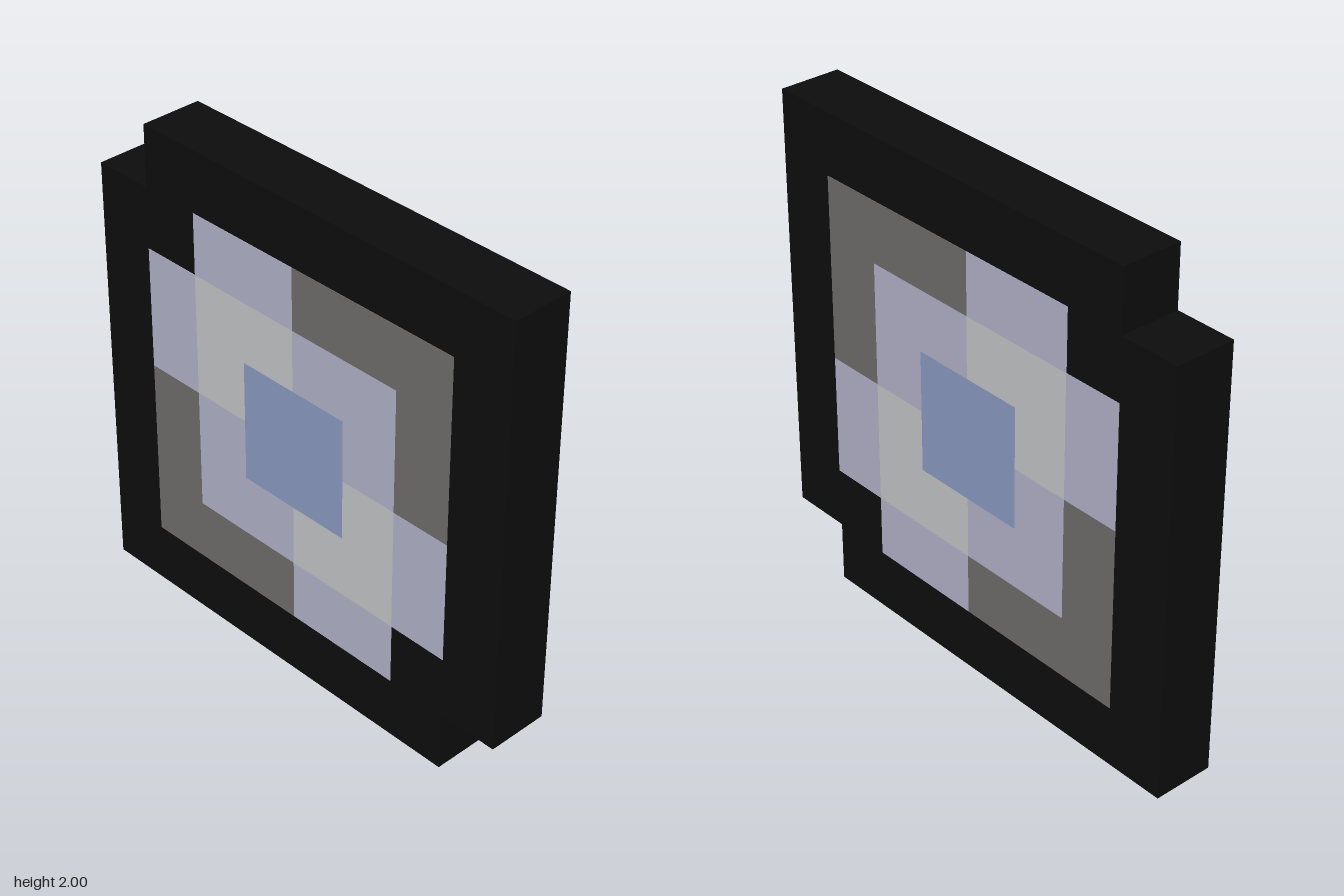
import * as THREE from 'three';

const CELL = 0.25;   // everything sits on a grid of quarter units
const DEPTH = 0.25;
const PLATE = 0.004;

// Extrudes an outline given in grid cells around the centre, centred on z = 0
function slab(points, depth) {
  const shape = new THREE.Shape(points.map(([x, y]) => new THREE.Vector2(x * CELL, y * CELL)));
  const geometry = new THREE.ExtrudeGeometry(shape, { depth, bevelEnabled: false });
  return geometry.translate(0, 0, -depth / 2);
}

const rect = (x0, y0, x1, y1) => [[x0, y0], [x1, y0], [x1, y1], [x0, y1]];

export function createModel() {
  const group = new THREE.Group();
  const mat = (name, color) => {
    const m = new THREE.MeshStandardMaterial({ color });
    m.name = name;
    return m;
  };
  const black = mat('black', 0x0d0d0d);
  const lavender = mat('lavender', 0xb3b3cb);
  const paleGrey = mat('pale grey', 0xc5c6c9);
  const darkGrey = mat('dark grey', 0x716e6d);
  const blue = mat('blue', 0x8c9cc3);

  // Square slab with two opposite corners notched out
  const body = new THREE.Mesh(slab([
    [-4, -4], [3, -4], [3, -3], [4, -3], [4, 4], [-3, 4], [-3, 3], [-4, 3],
  ], DEPTH), black);
  body.name = 'body';
  body.position.y = 1;
  group.add(body);

  // Adds a thin plate to the front and the back, turned about the centre
  function inlay(name, points, material, turn = 0) {
    const geometry = slab(points, PLATE);
    for (const side of [1, -1]) {
      const mesh = new THREE.Mesh(geometry, material);
      mesh.name = name + (side > 0 ? 'Front' : 'Back');
      mesh.position.set(0, 1, side * DEPTH / 2);
      mesh.rotation.z = turn;
      group.add(mesh);
    }
  }

  // The pattern repeats after half a turn
  for (const turn of [0, Math.PI]) {
    inlay('outerCorner', [[0, 2], [2, 2], [2, 0], [3, 0], [3, 3], [0, 3]], darkGrey, turn);
    inlay('innerCorner', [[0, 1], [1, 1], [1, 0], [2, 0], [2, 2], [0, 2]], lavender, turn);
    inlay('highlightCorner', [[-2, 0], [-1, 0], [-1, 1], [0, 1], [0, 2], [-2, 2]], paleGrey, turn);
    inlay('upperTab', rect(-2, 2, 0, 3), lavender, turn);
    inlay('sideTab', rect(-3, 0, -2, 2), lavender, turn);
  }
  inlay('centre', rect(-1, -1, 1, 1), blue);

  return group;
}
